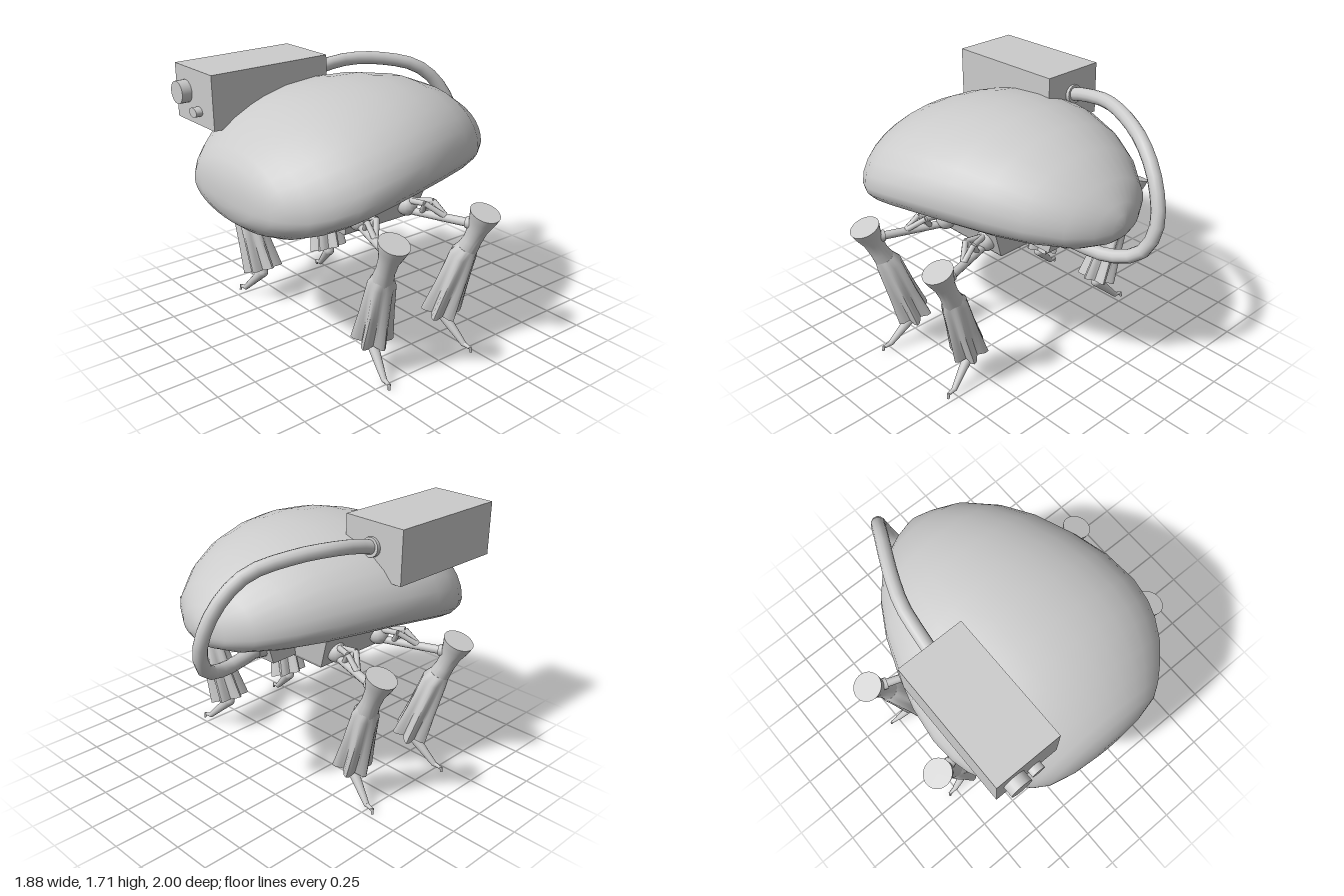
import * as THREE from 'three';
import { toCreasedNormals } from 'three/addons/utils/BufferGeometryUtils.js';

const V = (x, y, z) => new THREE.Vector3(x, y, z);
const mat = new THREE.MeshStandardMaterial({ color: 0xcccccc });

function add(parent, name, geo) {
  const m = new THREE.Mesh(geo, mat);
  m.name = name;
  parent.add(m);
  return m;
}

// Skin a closed solid over rings of equal point count, facing outwards
function loft(rings, crease = 0.7) {
  const n = rings[0].length, pts = rings.flat(), tris = [];
  for (let r = 0; r < rings.length - 1; r++) {
    for (let i = 0; i < n; i++) {
      const a = r * n + i, b = r * n + (i + 1) % n;
      tris.push([a, b, a + n], [b, b + n, a + n]);
    }
  }
  [0, rings.length - 1].forEach((r, end) => {
    const c = pts.length;
    pts.push(rings[r].reduce((s, p) => s.add(p), V(0, 0, 0)).divideScalar(n));
    for (let i = 0; i < n; i++) {
      const a = r * n + i, b = r * n + (i + 1) % n;
      tris.push(end ? [a, b, c] : [b, a, c]);
    }
  });
  let volume = 0;
  for (const [a, b, c] of tris) volume += pts[a].dot(pts[b].clone().cross(pts[c]));
  if (volume < 0) tris.forEach(t => t.reverse());
  const geo = new THREE.BufferGeometry().setFromPoints(pts);
  geo.setIndex(tris.flat());
  geo.computeVertexNormals();
  return toCreasedNormals(geo, crease);
}

// Tapered round bar between two points
function rod(a, b, ra, rb = ra, sides = 12) {
  const d = b.clone().sub(a);
  const geo = new THREE.CylinderGeometry(rb, ra, d.length(), sides);
  geo.applyQuaternion(new THREE.Quaternion().setFromUnitVectors(V(0, 1, 0), d.normalize()));
  const c = a.clone().add(b).multiplyScalar(0.5);
  return geo.translate(c.x, c.y, c.z);
}

const tube = (pts, r, seg, sides) =>
  new THREE.TubeGeometry(new THREE.CatmullRomCurve3(pts), seg, r, sides);

// Horizontal rectangle ring: half width, back z, front z, height
const rect = (x, z0, z1, y) => [V(-x, y, z0), V(x, y, z0), V(x, y, z1), V(-x, y, z1)];

function buildBody(parent) {
  // z, half width, bottom, top
  const sections = [
    [-0.852, 0.02, 1.13, 1.17], [-0.838, 0.08, 1.075, 1.22], [-0.8, 0.19, 1.04, 1.275],
    [-0.71, 0.34, 1.005, 1.38], [-0.53, 0.49, 0.98, 1.495], [-0.33, 0.6, 0.968, 1.575],
    [-0.09, 0.69, 0.962, 1.617], [0.13, 0.75, 0.955, 1.62], [0.35, 0.775, 0.93, 1.597],
    [0.5, 0.76, 0.9, 1.56], [0.6, 0.73, 0.875, 1.525], [0.72, 0.665, 0.855, 1.47],
    [0.82, 0.58, 0.852, 1.405], [0.9, 0.49, 0.88, 1.345], [0.95, 0.41, 0.92, 1.29],
    [0.985, 0.26, 0.965, 1.22], [1.0, 0.1, 1.03, 1.14]];
  const rings = sections.map(([z, w, y0, y1]) => {
    const mid = y0 + (y1 - y0) * 0.385;
    return Array.from({ length: 32 }, (_, i) => {
      const a = i / 32 * Math.PI * 2, s = Math.sin(a);
      return V(w * Math.cos(a), mid + s * (s > 0 ? y1 - mid : mid - y0), z);
    });
  });
  add(parent, 'body', loft(rings, 1.2));
}

function buildCamera(parent) {
  const box = add(parent, 'cameraBox', new THREE.BoxGeometry(0.43, 0.335, 0.82));
  box.position.set(-0.515, 1.538, 0.45);
  box.rotation.x = 0.008;
  add(parent, 'largeLens', rod(V(-0.61, 1.55, 0.84), V(-0.61, 1.55, 0.925), 0.07, 0.07, 24));
  const small = new THREE.CylinderGeometry(0.03, 0.03, 0.06, 20).rotateX(Math.PI / 2).scale(1.45, 1, 1);
  add(parent, 'smallLens', small).position.set(-0.47, 1.452, 0.872);
  add(parent, 'hoseCollar', rod(V(-0.51, 1.555, 0.06), V(-0.51, 1.56, 0.015), 0.06, 0.06, 16));
  add(parent, 'hose', tube([
    V(-0.51, 1.555, 0.04), V(-0.5, 1.585, -0.08), V(-0.475, 1.607, -0.27), V(-0.4, 1.595, -0.48),
    V(-0.29, 1.525, -0.72), V(-0.22, 1.36, -0.88), V(-0.165, 1.13, -0.955), V(-0.12, 0.955, -0.895),
    V(-0.06, 0.877, -0.72), V(0, 0.885, -0.38)], 0.043, 22, 12));
}

function buildChassis(parent) {
  add(parent, 'chassis', loft([
    rect(0.16, -0.04, 0.26, 0.705), rect(0.3, -0.16, 0.37, 0.78),
    rect(0.315, -0.17, 0.375, 0.8), rect(0.385, -0.2, 0.41, 0.99)], 0.1));
  add(parent, 'rearSocket', loft([rect(0.09, -0.1, -0.355, 0.8), rect(0.09, -0.1, -0.41, 0.985)], 0.1));
  add(parent, 'rearFlange', rod(V(0, 0.885, -0.36), V(0, 0.885, -0.43), 0.062, 0.055, 16));
}

function buildLeg(parent, sx, sz, name) {
  const leg = new THREE.Group();
  leg.name = name;
  parent.add(leg);
  const zMid = 0.1125;
  const P = (x, y, z) => V(sx * x, y, zMid + sz * (z - zMid));

  // Rings across the tilted leg: centre x, y, z, radius across, radius in z, pleat depth
  const ring = ([x, y, z, ru, rz, pleat]) => Array.from({ length: 36 }, (_, i) => {
    const a = i / 36 * Math.PI * 2, k = 1 - pleat * (0.5 - 0.5 * Math.cos(a * 6));
    const u = Math.cos(a) * ru * k, w = Math.sin(a) * rz * k;
    return P(x + u * 0.94, y - u * 0.35, z + w);
  });
  add(leg, 'upperLeg', loft([
    [0.853, 0.945, 0.46, 0.095, 0.09, 0], [0.836, 0.9, 0.46, 0.084, 0.078, 0],
    [0.805, 0.83, 0.456, 0.063, 0.056, 0], [0.77, 0.75, 0.45, 0.058, 0.054, 0],
    [0.72, 0.65, 0.435, 0.07, 0.065, 0]].map(ring), 1));
  add(leg, 'pleatedSkirt', loft([
    [0.745, 0.7, 0.44, 0.062, 0.058, 0], [0.717, 0.645, 0.43, 0.086, 0.086, 0.12],
    [0.65, 0.43, 0.41, 0.102, 0.108, 0.3], [0.585, 0.23, 0.39, 0.122, 0.135, 0.42]].map(ring), 1));

  // Foot with a hooked toe
  const shin = P(0.63, 0.34, 0.4), knee = P(0.585, 0.205, 0.395);
  const ankle = P(0.75, 0.038, 0.435), toe = P(0.8, 0.028, 0.44);
  add(leg, 'shin', rod(shin, knee, 0.035, 0.037));
  add(leg, 'kneeJoint', new THREE.SphereGeometry(0.037, 12, 8)).position.copy(knee);
  add(leg, 'foot', rod(knee, ankle, 0.036, 0.018));
  add(leg, 'ankleJoint', new THREE.SphereGeometry(0.018, 10, 6)).position.copy(ankle);
  add(leg, 'toe', rod(ankle, toe, 0.016, 0.01, 8));
  add(leg, 'claw', rod(P(0.802, 0.036, 0.44), P(0.808, 0, 0.445), 0.01, 0.008, 8));

  // Arm with two angular braces near the hip
  add(leg, 'hipJoint', new THREE.SphereGeometry(0.065, 14, 10)).position.copy(P(0.35, 0.875, 0.3));
  add(leg, 'arm', rod(P(0.35, 0.845, 0.3), P(0.79, 0.855, 0.45), 0.024, 0.027));
  add(leg, 'armCollar', rod(P(0.735, 0.854, 0.432), P(0.765, 0.855, 0.442), 0.037, 0.037));
  for (const [side, z] of [['inner', 0.3], ['outer', 0.37]]) {
    const low = P(0.45, 0.85, 0.335), peak = P(0.51, 0.935, z), end = P(0.61, 0.855, 0.388);
    add(leg, side + 'BraceStrut', rod(low, peak, 0.018, 0.018, 8));
    add(leg, side + 'BraceSlope', rod(peak, end, 0.018, 0.018, 8));
    add(leg, side + 'BraceLink', rod(P(0.36, 0.91, 0.3), peak, 0.02, 0.018, 8));
  }
}

export function createModel() {
  const model = new THREE.Group();
  model.name = 'walkingMachine';
  buildBody(model);
  buildCamera(model);
  buildChassis(model);
  for (const sx of [1, -1]) {
    for (const sz of [1, -1]) {
      buildLeg(model, sx, sz, (sz > 0 ? 'front' : 'rear') + (sx > 0 ? 'Left' : 'Right') + 'Leg');
    }
  }
  return model;
}
